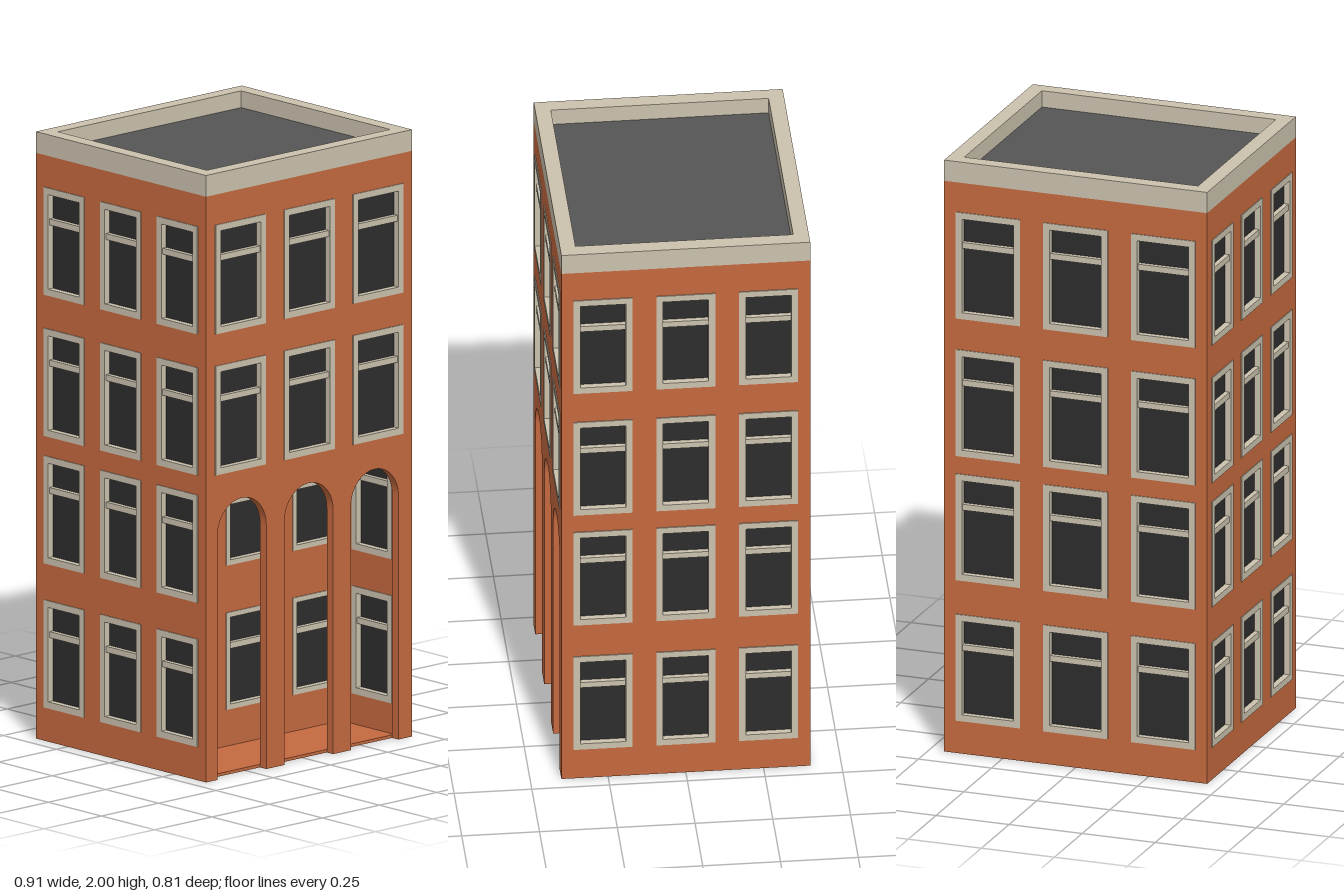
import * as THREE from 'three';

const mat = (name, color) => Object.assign(new THREE.MeshStandardMaterial({ color }), { name });

export function createModel() {
  const brick = mat('brick', 0xc4693f);
  const trim = mat('stone trim', 0xcbc2ae);
  const glass = mat('dark glass', 0x2d2d2d);
  const roofing = mat('roof felt', 0x555555);

  const building = new THREE.Group();
  building.name = 'building';

  const add = (parent, name, geometry, material, x = 0, y = 0, z = 0) => {
    const mesh = new THREE.Mesh(geometry, material);
    mesh.name = name;
    mesh.position.set(x, y, z);
    parent.add(mesh);
    return mesh;
  };
  const box = (w, h, d) => new THREE.BoxGeometry(w, h, d);
  const extrude = (shape, depth) =>
    new THREE.ExtrudeGeometry(shape, { depth, bevelEnabled: false, curveSegments: 16 });

  // Rectangle outline, used for walls, openings and rings
  const rect = (Type, cx, y, w, h) => {
    const p = new Type();
    p.moveTo(cx - w / 2, y);
    p.lineTo(cx + w / 2, y);
    p.lineTo(cx + w / 2, y + h);
    p.lineTo(cx - w / 2, y + h);
    p.closePath();
    return p;
  };

  // Window facing local +z, with its wall face at z = 0
  const addWindow = (parent, [x, y, w, h], border = 0.022) => {
    const win = new THREE.Group();
    win.name = 'window';
    win.position.set(x, y, 0);
    parent.add(win);
    const ring = rect(THREE.Shape, 0, 0, w, h);
    ring.holes.push(rect(THREE.Path, 0, border, w - 2 * border, h - 2 * border));
    add(win, 'windowFrame', extrude(ring, 0.027), trim, 0, 0, -0.024);
    add(win, 'transom', box(w - 2 * border, 0.02, 0.018), trim, 0, h - 0.112, -0.011);
    add(win, 'windowPane', box(w - 2 * border, h - 2 * border, 0.006), glass, 0, h / 2, -0.021);
  };

  // Wall with its outer face at local z = 0, pierced for its windows
  const addWall = (name, outline, thickness, windows, x, z, turn, border) => {
    const wall = new THREE.Group();
    wall.name = name;
    wall.position.set(x, 0, z);
    wall.rotation.y = turn;
    building.add(wall);
    for (const [wx, wy, w, h] of windows) outline.holes.push(rect(THREE.Path, wx, wy, w, h));
    add(wall, name + 'Brickwork', extrude(outline, thickness), brick, 0, 0, -thickness);
    for (const w of windows) addWindow(wall, w, border);
  };

  const grid = (columns, rows, w, h) => rows.flatMap((y) => columns.map((x) => [x, y, w, h]));
  const rows = [0.11, 0.585, 1.005, 1.47];
  const wide = [-0.3, 0, 0.3];
  const wallTop = 1.93;

  // Front wall: three arched openings cut up from the ground
  const front = new THREE.Shape();
  front.moveTo(-0.45, 0);
  for (const [a, b] of [[-0.4, -0.187], [-0.107, 0.105], [0.183, 0.39]]) {
    const r = (b - a) / 2;
    front.lineTo(a, 0);
    front.lineTo(a, 0.805);
    front.absarc(a + r, 0.805, r, Math.PI, 0, true);
    front.lineTo(b, 0);
  }
  front.lineTo(0.45, 0);
  front.lineTo(0.45, wallTop);
  front.lineTo(-0.45, wallTop);
  front.closePath();
  addWall('frontWall', front, 0.03, grid(wide, rows.slice(2), 0.22, 0.36), 0, 0.4, 0);

  // Back and side walls
  addWall('backWall', rect(THREE.Shape, 0, 0, 0.9, wallTop), 0.03,
    grid(wide, rows, 0.22, 0.36), 0, -0.4, Math.PI);
  for (const s of [1, -1]) {
    addWall(s > 0 ? 'leftWall' : 'rightWall', rect(THREE.Shape, 0, 0, 0.74, wallTop), 0.05,
      grid([-0.266, 0, 0.266], rows, 0.19, 0.355), s * 0.45, 0, s * Math.PI / 2);

    // Inner faces of the side windows that open on to the porch
    const inner = new THREE.Group();
    inner.name = 'porchSideWindows';
    inner.position.x = s * 0.4;
    inner.rotation.y = -s * Math.PI / 2;
    building.add(inner);
    for (const y of rows.slice(0, 2)) addWindow(inner, [s * 0.266, y, 0.19, 0.355]);
  }

  // Porch behind the arches
  addWall('porchBackWall', rect(THREE.Shape, 0, 0, 0.8, 0.96), 0.03,
    grid([-0.29, 0, 0.29], [0.13, 0.605], 0.205, 0.32), 0, 0.12, 0, 0.017);
  add(building, 'porchFloor', box(0.8, 0.01, 0.74), brick, 0, 0.005, 0);
  add(building, 'porchCeiling', box(0.8, 0.02, 0.28), brick, 0, 0.97, 0.23);

  // Parapet ring and sunken roof
  const parapet = rect(THREE.Shape, 0, -0.4, 0.9, 0.8);
  parapet.holes.push(rect(THREE.Path, 0, -0.35, 0.8, 0.7));
  add(building, 'parapet', extrude(parapet, 2 - wallTop).rotateX(-Math.PI / 2), trim, 0, wallTop, 0);
  add(building, 'roof', box(0.8, 0.02, 0.7), roofing, 0, 1.935, 0);

  return building;
}
